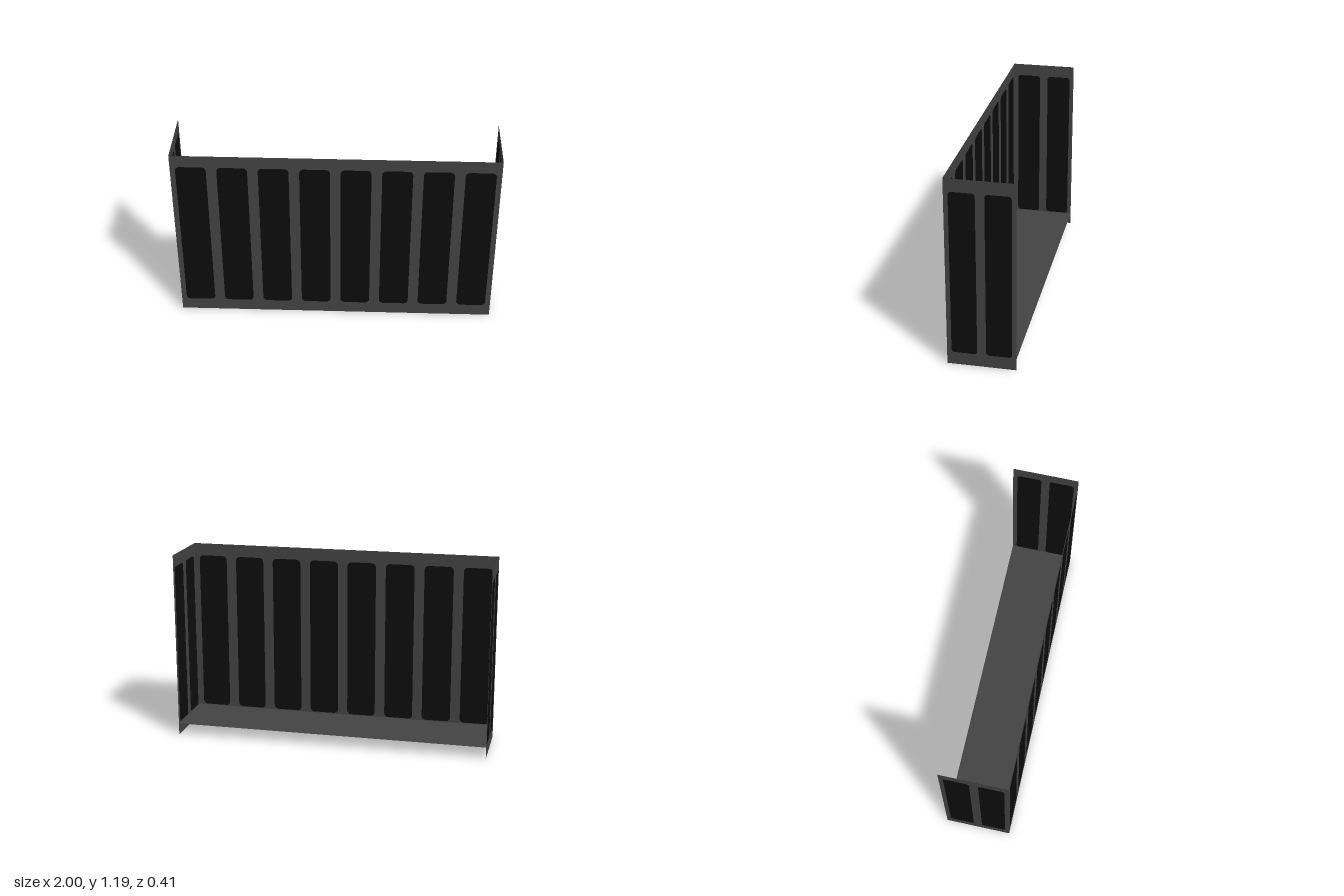
import * as THREE from 'three';

const HEIGHT = 1.19, WIDTH = 2, DEPTH = 0.415;
const PANEL_BOTTOM = 0.08, PANEL_TOP = 1.11, FLOOR_Y = 0.075;

// Upright rectangle with rounded corners, centred on cx
function roundedPanel(Type, cx, width, r) {
  const x0 = cx - width / 2, x1 = cx + width / 2, y0 = PANEL_BOTTOM, y1 = PANEL_TOP;
  const p = new Type();
  p.moveTo(x0 + r, y0);
  p.lineTo(x1 - r, y0);
  p.absarc(x1 - r, y0 + r, r, -Math.PI / 2, 0, false);
  p.lineTo(x1, y1 - r);
  p.absarc(x1 - r, y1 - r, r, 0, Math.PI / 2, false);
  p.lineTo(x0 + r, y1);
  p.absarc(x0 + r, y1 - r, r, Math.PI / 2, Math.PI, false);
  p.lineTo(x0, y0 + r);
  p.absarc(x0 + r, y0 + r, r, Math.PI, Math.PI * 1.5, false);
  return p;
}

export function createModel() {
  const frameGrey = new THREE.MeshStandardMaterial({ color: 0x444444, side: THREE.DoubleSide });
  frameGrey.name = 'frame grey';
  const panelBlack = new THREE.MeshStandardMaterial({ color: 0x0d0d0d, side: THREE.DoubleSide });
  panelBlack.name = 'panel black';

  // Thin railing wall: a frame with openings, each filled by a dark panel
  function railing(name, length, count, panelWidth, radius) {
    const group = new THREE.Group();
    group.name = name;
    const h = length / 2;
    const outline = new THREE.Shape([
      new THREE.Vector2(-h, 0), new THREE.Vector2(h, 0),
      new THREE.Vector2(h, HEIGHT), new THREE.Vector2(-h, HEIGHT),
    ]);
    for (let i = 0; i < count; i++) {
      const cx = (i + 0.5 - count / 2) * (length / count);
      outline.holes.push(roundedPanel(THREE.Path, cx, panelWidth, radius));
      const panel = new THREE.Mesh(
        new THREE.ShapeGeometry(roundedPanel(THREE.Shape, cx, panelWidth, radius), 6), panelBlack);
      panel.name = 'panel' + (i + 1);
      group.add(panel);
    }
    const frame = new THREE.Mesh(new THREE.ShapeGeometry(outline, 6), frameGrey);
    frame.name = 'frame';
    group.add(frame);
    return group;
  }

  const model = new THREE.Group();
  model.name = 'balcony';

  // Front railing
  const front = railing('frontRailing', WIDTH, 8, 0.186, 0.027);
  front.position.z = DEPTH / 2;
  model.add(front);

  // Side railings, facing outwards
  for (const side of [-1, 1]) {
    const wall = railing(side > 0 ? 'leftRailing' : 'rightRailing', DEPTH, 2, 0.154, 0.02);
    wall.rotation.y = side * Math.PI / 2;
    wall.position.x = side * WIDTH / 2;
    model.add(wall);
  }

  // Floor plate, slightly above the lower edge of the railings
  const floor = new THREE.Mesh(new THREE.PlaneGeometry(WIDTH, DEPTH), frameGrey);
  floor.name = 'floor';
  floor.rotation.x = -Math.PI / 2;
  floor.position.y = FLOOR_Y;
  model.add(floor);

  return model;
}
